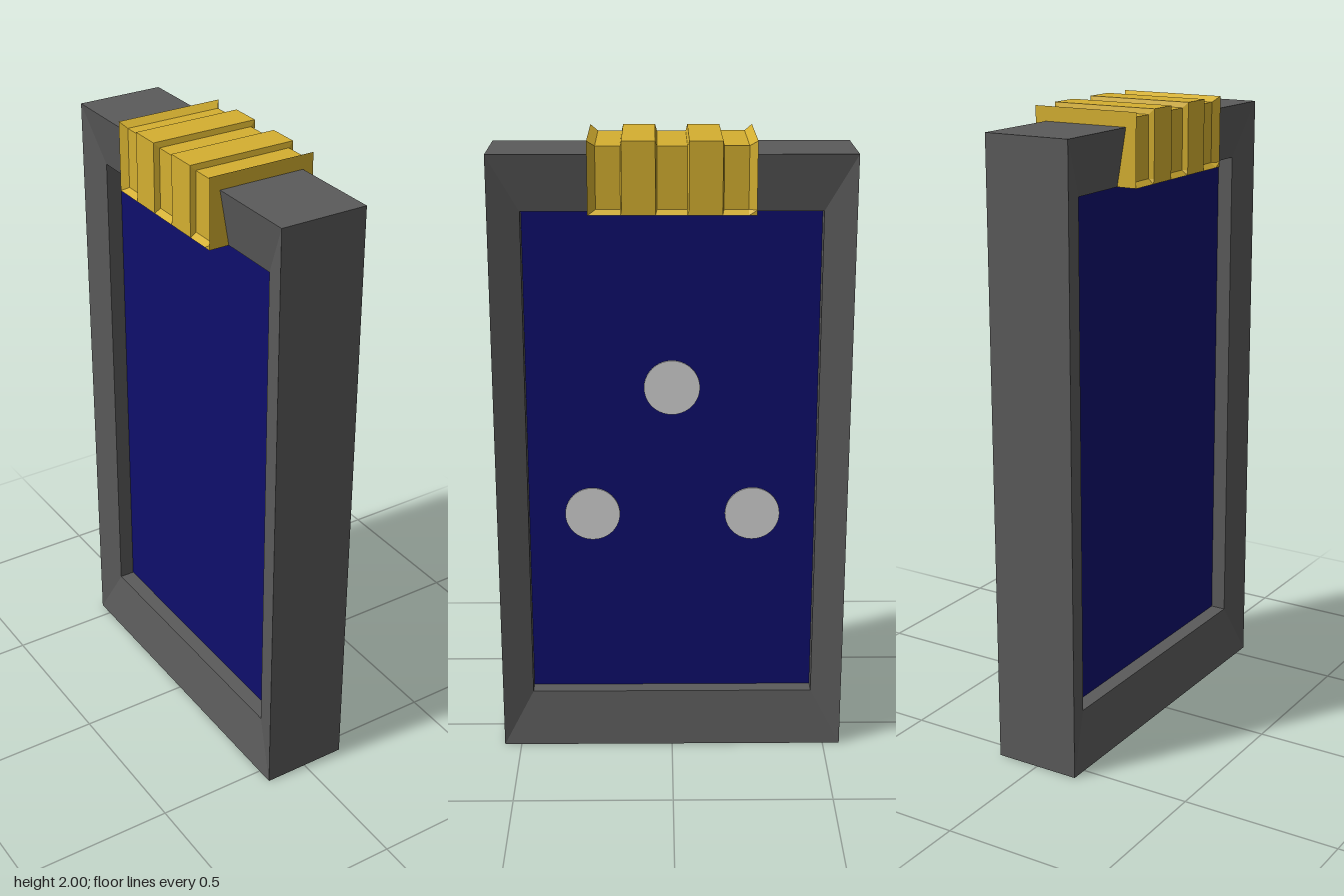
import * as THREE from 'three';

const material = (name, color, extra = {}) => new THREE.MeshStandardMaterial({ name, color, ...extra });

// Joins equal-length closed outlines (counter-clockwise seen from the first end) into a hard-edged skin
function loft(rings, capped) {
  const pos = [];
  const tri = (...corners) => corners.forEach((c) => pos.push(...c));
  for (let k = 0; k < rings.length - 1; k++) {
    const a = rings[k], b = rings[k + 1], n = a.length;
    for (let j = 0; j < n; j++) {
      const m = (j + 1) % n;
      tri(a[j], b[j], b[m]);
      tri(a[j], b[m], a[m]);
    }
  }
  if (capped) {
    const first = rings[0], last = rings[rings.length - 1];
    for (let j = 1; j < first.length - 1; j++) {
      tri(first[0], first[j], first[j + 1]);
      tri(last[0], last[j + 1], last[j]);
    }
  }
  const geometry = new THREE.BufferGeometry();
  geometry.setAttribute('position', new THREE.Float32BufferAttribute(pos, 3));
  geometry.computeVertexNormals();
  return geometry;
}

export function createModel() {
  const grey = material('frame grey', 0x5a5a5a);
  const gold = material('clasp gold', 0xd4af30);
  const blue = material('panel blue', 0x0e0e6c);
  const white = material('dot white', 0xd4d4d4);

  const model = new THREE.Group();
  const add = (name, geometry, mat, x = 0, y = 0, z = 0) => {
    const mesh = new THREE.Mesh(geometry, mat);
    mesh.name = name;
    mesh.position.set(x, y, z);
    model.add(mesh);
    return mesh;
  };

  // Frame: faces slope in towards the opening, then step down to the panel
  const ring = (x, halfZ, y0, y1) => [[x, y0, halfZ], [x, y0, -halfZ], [x, y1, -halfZ], [x, y1, halfZ]];
  const outer = [0.555, 0, 1.955], inner = [0.458, 0.18, 1.78];
  add('frame', loft([
    ring(0.06, ...inner), ring(0.11, ...inner), ring(0.14, ...outer),
    ring(-0.14, ...outer), ring(-0.11, ...inner), ring(-0.06, ...inner),
  ], false), grey);

  // Recessed panel closing the opening on both sides
  add('panel', new THREE.BoxGeometry(0.12, 1.6, 0.916), blue, 0, 0.98, 0);

  // Three dots on the left face of the panel
  for (const [y, z] of [[1.213, 0], [0.79, 0.255], [0.79, -0.258]]) {
    const dot = add('dot', new THREE.CylinderGeometry(0.088, 0.088, 0.006, 40), white, 0.062, y, z);
    dot.rotation.z = -Math.PI / 2;
  }

  // Clasp over the top: two raised bars with shallow grooves and a flared lip
  const section = (z, inset) => {
    const w = 0.175 - inset, top = 2 - inset;
    return [
      [0.175, 1.78, z], [w, 1.795, z], [w, top, z],
      [-w, top, z], [-w, 1.795, z], [-0.175, 1.78, z],
    ];
  };
  const half = [[0.252, 0], [0.228, 0.017], [0.154, 0.017], [0.15, 0], [0.05, 0], [0.045, 0.017]];
  const steps = [...half, ...half.map(([z, i]) => [-z, i]).reverse()];
  add('clasp', loft(steps.map(([z, i]) => section(z, i)), true), gold);

  return model;
}
